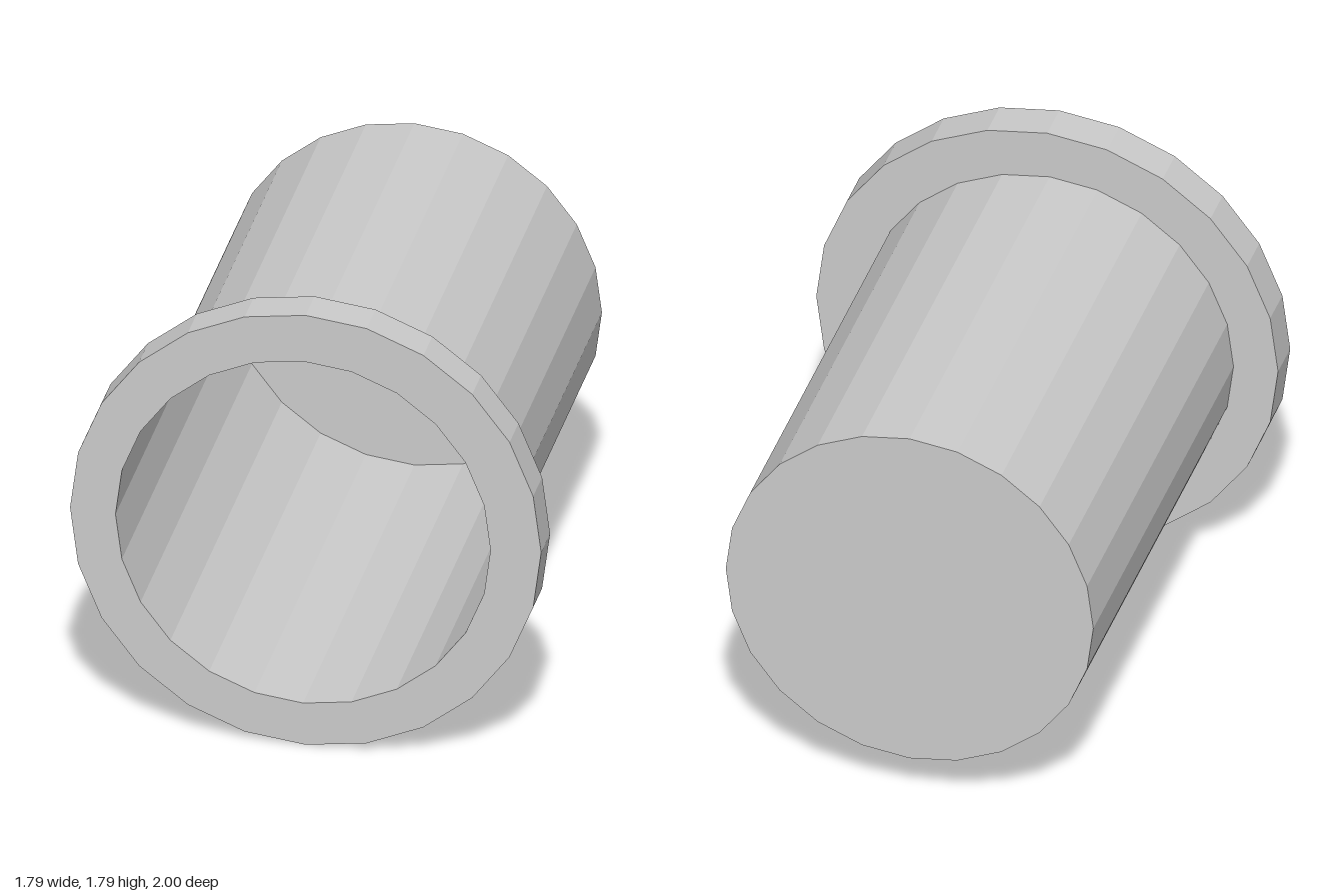
import * as THREE from 'three';

const SIDES = 24;
const FLANGE_R = 0.897, BORE_R = 0.714;
const FRONT = 1, FLANGE_BACK = 0.84, BACK = -1;
const BORE_X = -0.01, BORE_Y = 0.887; // bore sits slightly off the flange centre

// Regular polygon corners around (cx, cy)
function ring(radius, cx, cy) {
  return Array.from({ length: SIDES }, (_, i) => {
    const a = (i / SIDES) * Math.PI * 2;
    return new THREE.Vector2(cx + radius * Math.cos(a), cy + radius * Math.sin(a));
  });
}

export function createModel() {
  const group = new THREE.Group();
  group.name = 'flangedCup';
  const material = new THREE.MeshStandardMaterial({
    color: 0xcccccc, flatShading: true, side: THREE.DoubleSide,
  });
  const add = (name, geometry) => {
    const mesh = new THREE.Mesh(geometry, material);
    mesh.name = name;
    group.add(mesh);
    return mesh;
  };

  // Flange: a flat ring at the open front end
  const outline = new THREE.Shape(ring(FLANGE_R, 0, FLANGE_R));
  outline.holes.push(new THREE.Path(ring(BORE_R, BORE_X, BORE_Y)));
  add('flange', new THREE.ExtrudeGeometry(outline, {
    depth: FRONT - FLANGE_BACK, bevelEnabled: false,
  })).position.z = FLANGE_BACK;

  // Barrel: thin open tube behind the flange
  const length = FLANGE_BACK - BACK;
  const barrel = new THREE.CylinderGeometry(BORE_R, BORE_R, length, SIDES, 1, true);
  barrel.rotateX(Math.PI / 2);
  add('barrel', barrel).position.set(BORE_X, BORE_Y, (FLANGE_BACK + BACK) / 2);

  // Closed back end, facing -z
  const cap = new THREE.CircleGeometry(BORE_R, SIDES).rotateY(Math.PI);
  add('backCap', cap).position.set(BORE_X, BORE_Y, BACK);

  return group;
}
